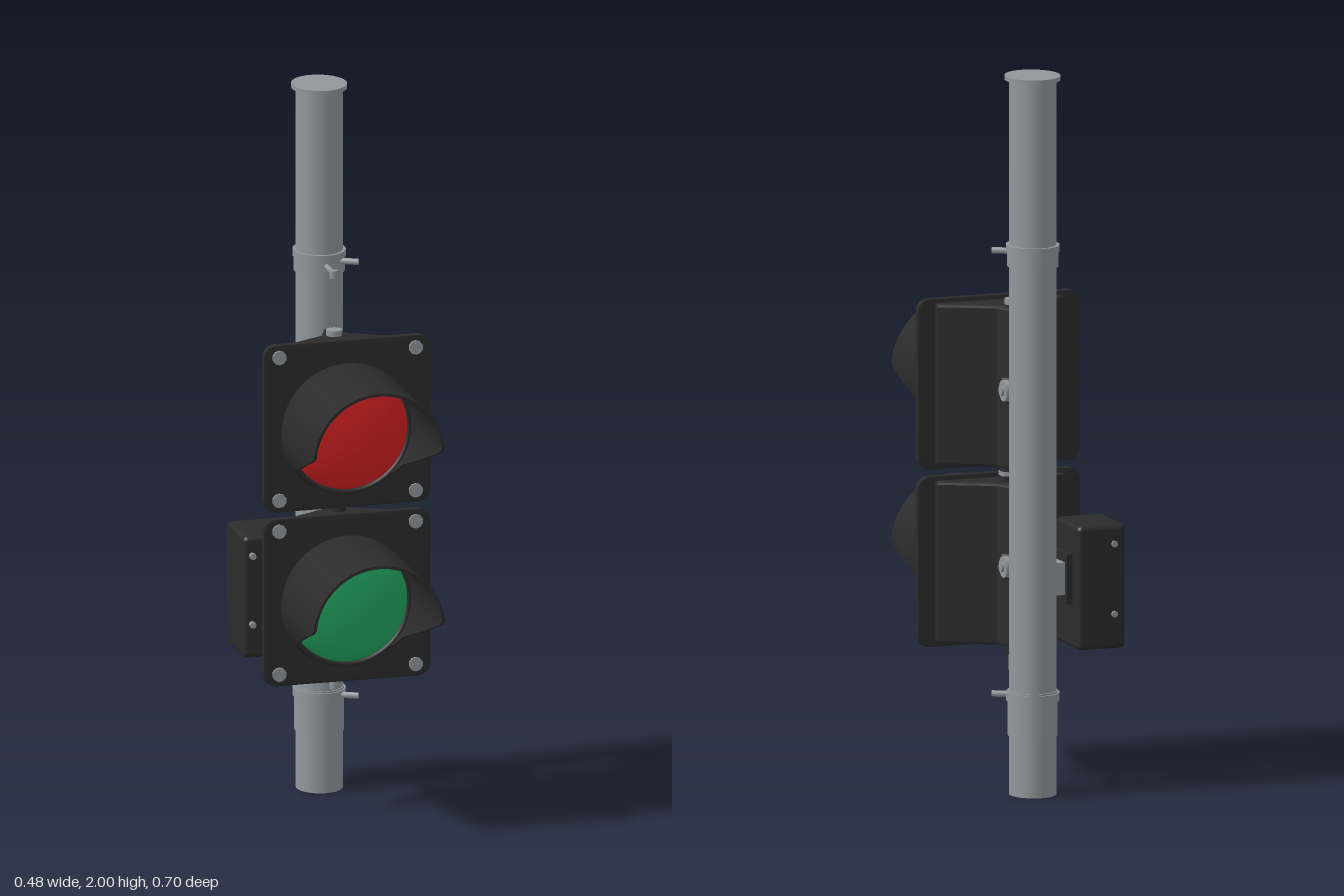
import * as THREE from 'three';
import { RoundedBoxGeometry } from 'three/addons/geometries/RoundedBoxGeometry.js';

const material = (name, color) => {
  const m = new THREE.MeshStandardMaterial({ color });
  m.name = name;
  return m;
};

export function createModel() {
  const black = material('black housing', 0x2b2b2b);
  const steel = material('galvanised steel', 0x91979c);
  const red = material('red lens', 0xd92122);
  const green = material('green lens', 0x22a962);
  const model = new THREE.Group();
  model.name = 'trafficSignal';

  const add = (parent, name, geometry, mat, x = 0, y = 0, z = 0) => {
    const mesh = new THREE.Mesh(geometry, mat);
    mesh.name = name;
    mesh.position.set(x, y, z);
    parent.add(mesh);
    return mesh;
  };
  // Cylinder along a chosen axis
  const rod = (r, length, axis = 'y', sides = 16) => {
    const g = new THREE.CylinderGeometry(r, r, length, sides);
    if (axis === 'x') g.rotateZ(Math.PI / 2);
    if (axis === 'z') g.rotateX(Math.PI / 2);
    return g;
  };

  // Pole with its cap and clamp bands, slightly oval in plan
  const poleZ = -0.25;
  const band = (name, r, y0, y1) => {
    const g = rod(r, y1 - y0, 'y', 40).scale(0.93, 1, 1.02);
    add(model, name, g, steel, 0, (y0 + y1) / 2, poleZ);
  };
  band('pole', 0.069, 0, 1.99);
  band('poleCap', 0.082, 1.988, 2);
  band('upperClamp', 0.075, 1.47, 1.525);
  band('upperClampLip', 0.078, 1.51, 1.53);
  band('lowerClamp', 0.073, 0.165, 0.29);
  band('lowerClampLip', 0.078, 0.262, 0.285);

  // Clamp bolts
  for (const y of [1.505, 0.272]) {
    const bolt = add(model, 'clampBolt', rod(0.009, 0.05, 'x', 8), steel, 0.068, y, -0.185);
    bolt.rotation.y = -0.5;
  }
  add(model, 'upperEyeRod', rod(0.008, 0.08, 'z', 8), steel, 0, 1.498, -0.145);
  add(model, 'upperEye', rod(0.011, 0.022, 'y', 10), steel, 0, 1.495, -0.107);
  add(model, 'lowerSupport', rod(0.01, 0.09, 'z', 8), steel, 0, 0.335, -0.143);
  add(model, 'lowerSupportEnd', rod(0.013, 0.04, 'y', 10), steel, 0, 0.34, -0.1);

  // Housing tapers in plan toward the pole
  const plan = new THREE.Shape([
    [-0.18, 0], [0.18, 0], [0.18, 0.012], [0.037, 0.086], [0.014, 0.142],
    [-0.014, 0.142], [-0.037, 0.086], [-0.18, 0.012],
  ].map(([x, y]) => new THREE.Vector2(x, y)));
  const bodyGeometry = new THREE.ExtrudeGeometry(plan, {
    depth: 0.434, bevelThickness: 0.008, bevelSize: 0.007, bevelSegments: 2,
  });
  bodyGeometry.translate(0, 0, -0.217).rotateX(-Math.PI / 2);

  // Visor: a tube whose front edge is cut back below the middle
  const cut = [[-1, 0.035], [-0.14, 0.037], [-0.1, 0.07], [-0.075, 0.137], [-0.03, 0.25], [0.01, 0.35], [1, 0.35]];
  const frontAt = (y) => {
    const i = cut.findIndex((c) => y <= c[0]);
    const [y0, z0] = cut[i - 1];
    const [y1, z1] = cut[i];
    return z0 + (z1 - z0) * (y - y0) / (y1 - y0);
  };
  const visorGeometry = new THREE.LatheGeometry([
    [0.179, 0.02], [0.187, 0.02], [0.187, 0.02], [0.187, 1],
    [0.187, 1], [0.179, 1], [0.179, 1], [0.179, 0.02],
  ].map(([r, y]) => new THREE.Vector2(r, y)), 72);
  visorGeometry.rotateX(Math.PI / 2);
  const p = visorGeometry.attributes.position;
  for (let i = 0; i < p.count; i++) {
    if (p.getZ(i) > 0.5) p.setZ(i, frontAt(p.getY(i)));
  }
  visorGeometry.computeVertexNormals();
  const visorMaterial = black;
  visorMaterial.side = THREE.DoubleSide;

  // Domed lens
  const lensGeometry = new THREE.SphereGeometry(0.172, 40, 10, 0, Math.PI * 2, 0, Math.PI / 2);
  lensGeometry.rotateX(Math.PI / 2).scale(1, 1, 0.18);

  const signalHead = (name, y, lensOffset, lensMaterial) => {
    const head = new THREE.Group();
    head.name = name;
    head.position.y = y;
    model.add(head);
    add(head, 'housing', bodyGeometry, black, 0, 0, 0.007);
    const plate = new RoundedBoxGeometry(0.474, 0.474, 0.474, 4, 0.035);
    add(head, 'frontPlate', plate.scale(1, 1, 0.022 / 0.474), black, 0, 0, 0.019);
    add(head, 'visor', visorGeometry, visorMaterial, 0, lensOffset, 0);
    add(head, 'lensRing', new THREE.TorusGeometry(0.176, 0.008, 8, 48), black, 0, lensOffset, 0.034);
    add(head, 'lens', lensGeometry, lensMaterial, 0, lensOffset, 0.03);
    for (const sx of [-1, 1]) {
      for (const sy of [-1, 1]) {
        add(head, 'cornerBolt', rod(0.02, 0.012, 'z', 10), steel, sx * 0.194, sy * 0.203, 0.031);
      }
      // Brackets that hold the head to the pole
      add(head, 'bracketArm', new RoundedBoxGeometry(0.03, 0.07, 0.045, 2, 0.008), black,
        sx * 0.036, lensOffset + 0.02, -0.168).rotation.y = sx * 0.5;
      add(head, 'bracketBolt', rod(0.03, 0.014, 'x', 16), steel, sx * 0.052, lensOffset + 0.02, -0.176);
      add(head, 'bracketNut', rod(0.014, 0.014, 'x', 6), steel, sx * 0.06, lensOffset + 0.02, -0.176);
    }
    add(head, 'mountingBlock', new THREE.BoxGeometry(0.04, 0.06, 0.05), steel, 0, lensOffset + 0.02, -0.165);
  };
  signalHead('stopSignal', 1.107, -0.015, red);
  signalHead('goSignal', 0.613, -0.011, green);

  // Fittings above, between and below the heads
  add(model, 'topFitting', rod(0.022, 0.022), steel, -0.008, 1.337, -0.073);
  add(model, 'headConnector', rod(0.022, 0.06), black, 0, 0.86, -0.06);
  add(model, 'connectorNut', rod(0.026, 0.012, 'y', 6), steel, 0, 0.86, -0.06);
  add(model, 'bottomFitting', rod(0.02, 0.03), black, 0, 0.378, -0.1);

  // Control box on the side of the pole
  const box = new THREE.Group();
  box.name = 'controlBox';
  box.position.set(-0.17, 0.578, -0.249);
  model.add(box);
  add(box, 'boxCase', new RoundedBoxGeometry(0.14, 0.345, 0.18, 3, 0.014), black);
  add(box, 'boxFlange', new THREE.BoxGeometry(0.02, 0.14, 0.098), black, 0.076, 0.02, 0.004);
  add(box, 'boxBracket', new THREE.BoxGeometry(0.045, 0.09, 0.06), steel, 0.1, 0.02, 0);
  for (const y of [0.12, -0.075]) {
    add(box, 'boxScrew', rod(0.009, 0.014, 'z', 8), steel, -0.035, y, -0.091);
    add(box, 'boxScrew', rod(0.009, 0.018, 'z', 8), steel, -0.047, y, 0.096);
  }
  return model;
}
